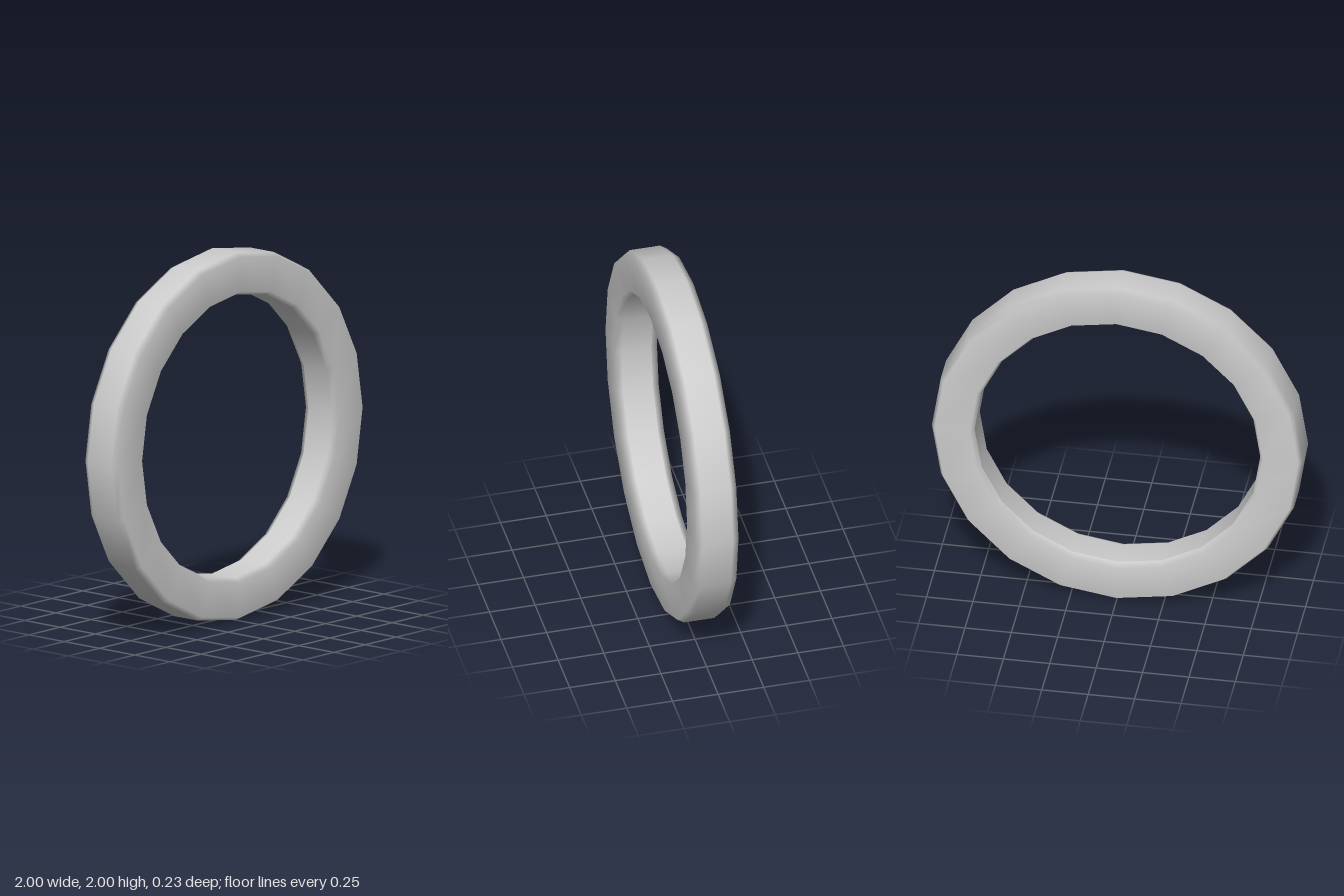
import * as THREE from 'three';

export function createModel() {
  const group = new THREE.Group();
  group.name = 'ringModel';

  // Bevelled rectangular cross-section (radius, depth), counterclockwise from the inner back edge
  const inner = 0.77, outer = 1, half = 0.117, bevelR = 0.02, bevelZ = 0.035;
  const profile = [
    [inner, -half + bevelZ],
    [inner + bevelR, -half],
    [outer - bevelR, -half],
    [outer, -half + bevelZ],
    [outer, half - bevelZ],
    [outer - bevelR, half],
    [inner + bevelR, half],
    [inner, half - bevelZ],
    [inner, -half + bevelZ],
  ].map(([r, z]) => new THREE.Vector2(r, z));

  // Twenty-sided ring, stood upright with its axis along z
  const geometry = new THREE.LatheGeometry(profile, 20);
  geometry.rotateX(Math.PI / 2);
  const ring = new THREE.Mesh(geometry, new THREE.MeshStandardMaterial({ color: 0xcccccc }));
  ring.name = 'ring';
  ring.position.y = 1;
  group.add(ring);

  return group;
}
